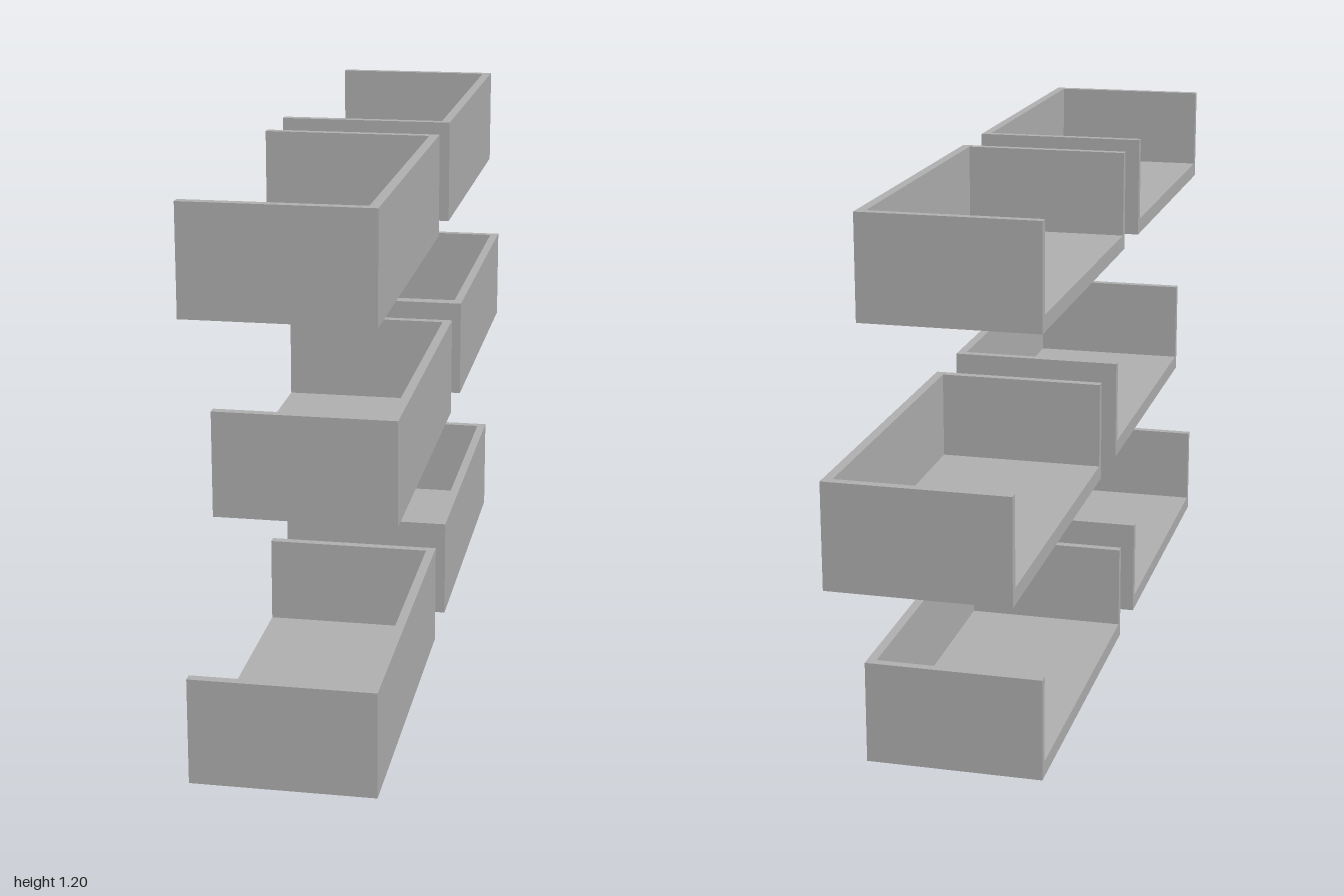
import * as THREE from 'three';

const W = 0.384, H = 0.226, L = 0.8, T = 0.02; // tray depth (x), height, length (z), wall thickness
const FLOOR = 0.035, FOOT = 0.009, PITCH = 0.481;

export function createModel() {
  const model = new THREE.Group();
  model.name = 'wallTrays';
  const grey = new THREE.MeshStandardMaterial({ color: 0xb2b2b2 });
  grey.name = 'grey';

  function box(parent, name, sx, sy, sz, x, y, z) {
    const mesh = new THREE.Mesh(new THREE.BoxGeometry(sx, sy, sz), grey);
    mesh.name = name;
    mesh.position.set(x, y, z);
    parent.add(mesh);
  }

  // One tray: floor, three walls (open towards -x) and a thin panel underneath
  function tray(y, z) {
    const g = new THREE.Group();
    g.name = 'tray';
    g.position.set(0, y, z);
    box(g, 'floor', W - T, FLOOR, L - 2 * T, -T / 2, FOOT + FLOOR / 2, 0);
    box(g, 'longWall', T, H, L, W / 2 - T / 2, FOOT + H / 2, 0);
    for (const s of [-1, 1])
      box(g, 'endWall', W - T, H, T, -T / 2, FOOT + H / 2, s * (L / 2 - T / 2));
    box(g, 'underPanel', 0.252, FOOT, 0.67, -0.019, FOOT / 2, 0);
    model.add(g);
  }

  // Three levels of two trays, the middle level staggered
  for (let level = 0; level < 3; level++) {
    const s = level === 1 ? -1 : 1;
    tray(level * PITCH, s * 0.6);
    tray(level * PITCH, s * -0.36);
  }
  return model;
}
